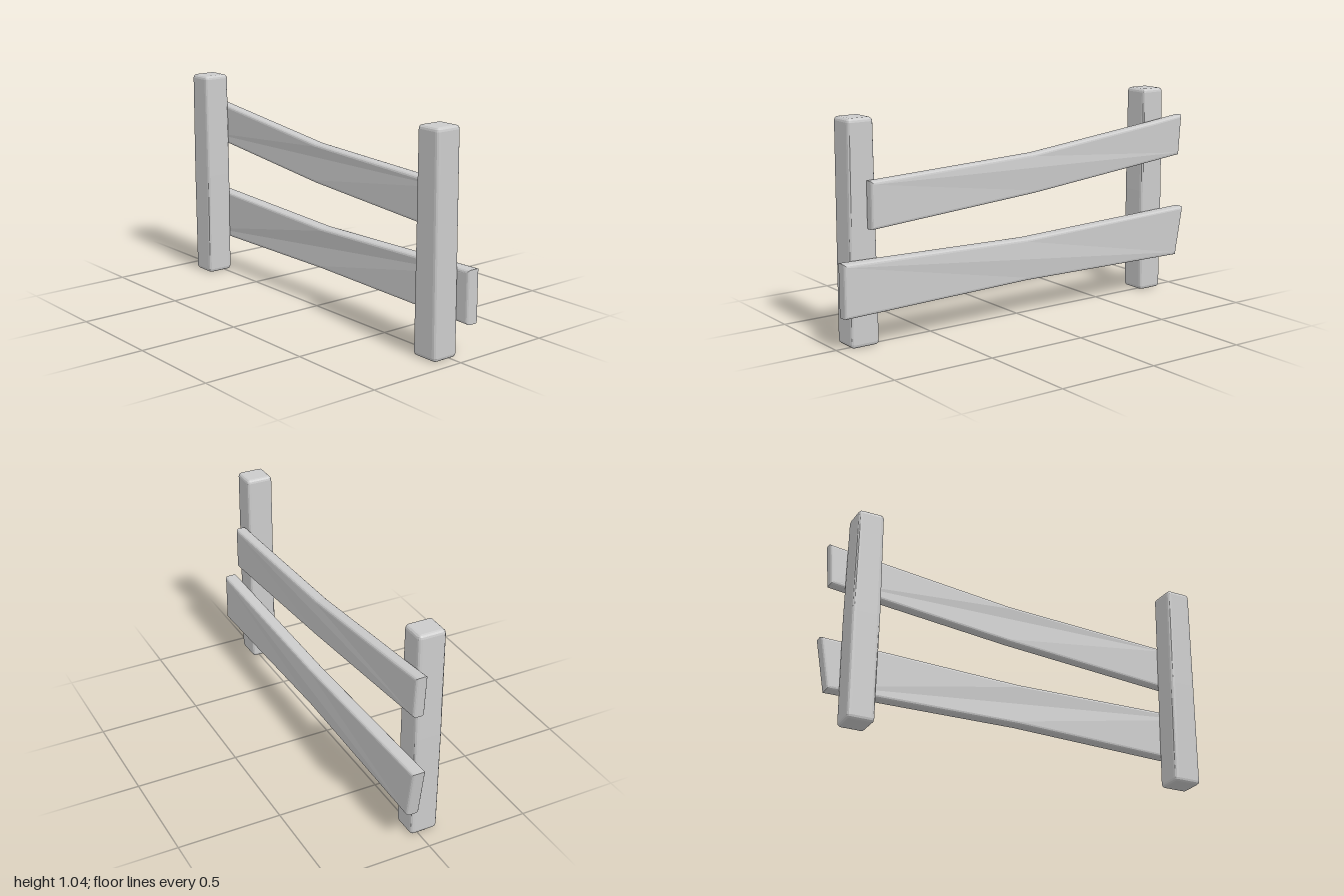
import * as THREE from 'three';

const material = new THREE.MeshStandardMaterial({ color: 0xcccccc });

// Extrude an outline with softened rims, so that it fills exactly 0..depth
function softExtrude(shape, depth, bevel, steps = 1) {
  const geometry = new THREE.ExtrudeGeometry(shape, {
    depth: depth - 2 * bevel, steps, curveSegments: 3,
    bevelSize: bevel, bevelThickness: bevel, bevelOffset: -bevel, bevelSegments: 3,
  });
  return geometry.translate(0, 0, bevel);
}

// Move every vertex by a rule, then refresh the normals
function deform(geometry, rule) {
  const p = geometry.attributes.position;
  const v = new THREE.Vector3();
  for (let i = 0; i < p.count; i++) {
    rule(v.fromBufferAttribute(p, i));
    p.setXYZ(i, v.x, v.y, v.z);
  }
  geometry.computeVertexNormals();
  return geometry;
}

// Upright post: rounded square section; widths at foot, middle and top
function makePost(name, x, height, widths) {
  const h = 0.5, r = 0.14;
  const s = new THREE.Shape();
  s.moveTo(-h + r, -h);
  s.lineTo(h - r, -h);
  s.quadraticCurveTo(h, -h, h, -h + r);
  s.lineTo(h, h - r);
  s.quadraticCurveTo(h, h, h - r, h);
  s.lineTo(-h + r, h);
  s.quadraticCurveTo(-h, h, -h, h - r);
  s.lineTo(-h, -h + r);
  s.quadraticCurveTo(-h, -h, -h + r, -h);
  const bevel = 0.13;
  const geometry = softExtrude(s, 4, bevel, 2).rotateX(-Math.PI / 2);
  deform(geometry, (v) => {
    // Keep the rim rounding in proportion while stretching to full height
    const t = v.y < 1 ? v.y * 0.14 : v.y > 3 ? height - (4 - v.y) * 0.14 : height / 2;
    const k = t / height;
    const w = k < 0.5
      ? THREE.MathUtils.lerp(widths[0], widths[1], k * 2)
      : THREE.MathUtils.lerp(widths[1], widths[2], k * 2 - 1);
    v.set(x + v.x * w, t, 0.031 + v.z * 0.135 + 0.003 * (k - 0.5));
  });
  const mesh = new THREE.Mesh(geometry, material);
  mesh.name = name;
  return mesh;
}

// Hand-cut rail: outline in the front plane, slightly bowed forward mid-span
function makeRail(name, outline, back, front) {
  const shape = new THREE.Shape(outline.map(([x, y]) => new THREE.Vector2(x, y)));
  const geometry = softExtrude(shape, front - back, 0.014);
  deform(geometry, (v) => {
    v.z += back + 0.008 * (1 - Math.abs(v.x));
  });
  const mesh = new THREE.Mesh(geometry, material);
  mesh.name = name;
  return mesh;
}

export function createModel() {
  const group = new THREE.Group();
  group.name = 'fence';
  group.add(
    makePost('rightPost', -0.837, 1.045, [0.13, 0.138, 0.126]),
    makePost('leftPost', 0.866, 1.04, [0.144, 0.136, 0.128]),
    makeRail('upperRail', [
      [-0.97, 0.7], [-0.8, 0.682], [-0.05, 0.605], [0.85, 0.545],
      [0.85, 0.763], [-0.05, 0.798], [-0.8, 0.882], [-0.985, 0.905],
    ], -0.092, -0.035),
    makeRail('lowerRail', [
      [-0.957, 0.175], [0, 0.184], [1, 0.162],
      [1, 0.412], [0, 0.39], [-1, 0.425],
    ], -0.1, -0.034),
  );
  return group;
}
